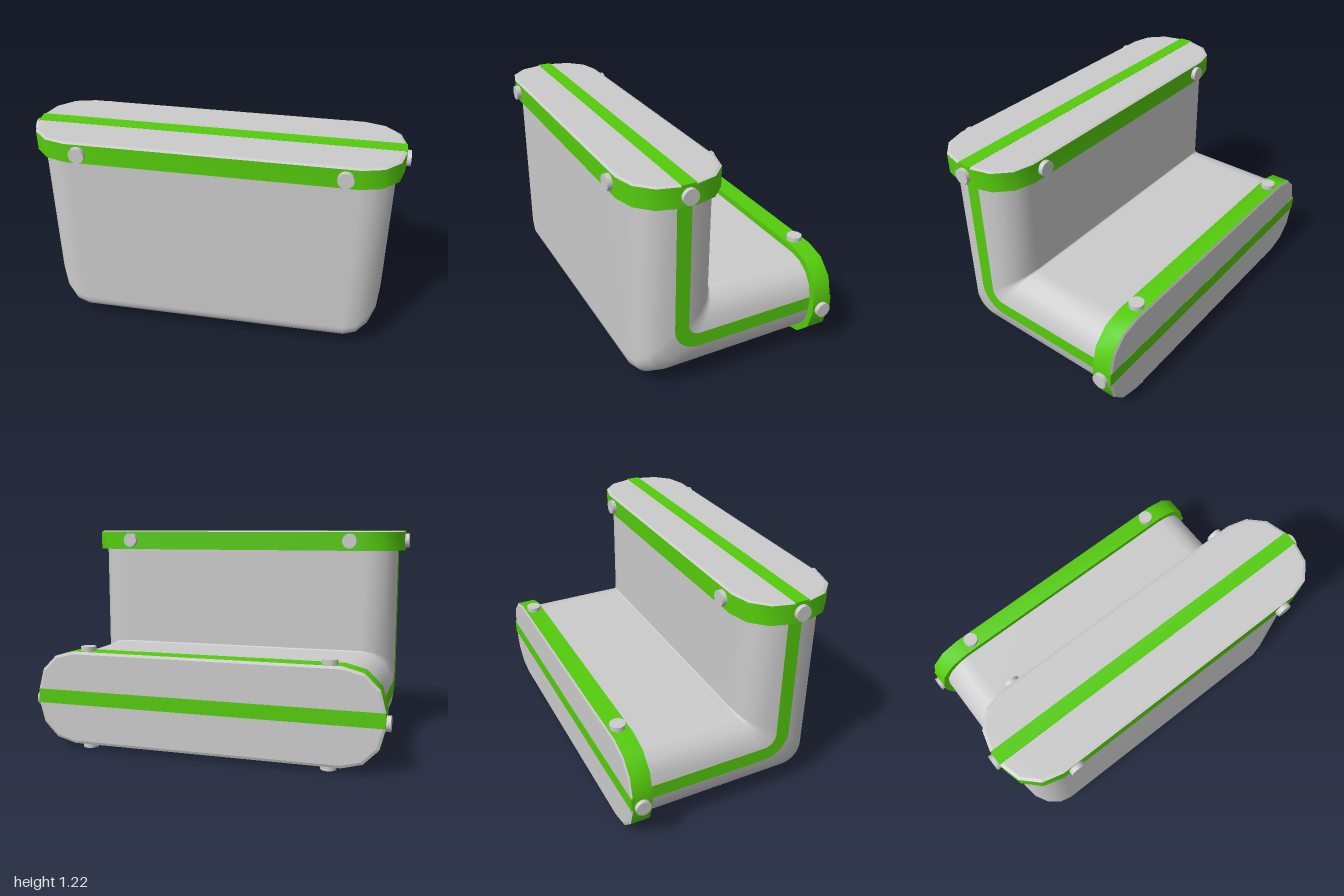
import * as THREE from 'three';
import { toCreasedNormals } from 'three/addons/utils/BufferGeometryUtils.js';

const grey = new THREE.MeshStandardMaterial({ color: 0xcccccc });
const green = new THREE.MeshStandardMaterial({ color: 0x55cc0c });

const ARM_Z = 0.31, ARM_Y = 0.294; // centre lines of the upright and the lying arm

// Rounded rectangle, counter-clockwise, as four corner runs
function roundedRect(hx, hy, r, seg = 3) {
  const pts = [];
  for (let c = 0; c < 4; c++) {
    const cx = (c === 0 || c === 3 ? 1 : -1) * (hx - r);
    const cy = (c < 2 ? 1 : -1) * (hy - r);
    for (let k = 0; k <= seg; k++) {
      const a = (c + k / seg) * Math.PI / 2;
      pts.push(new THREE.Vector2(cx + r * Math.cos(a), cy + r * Math.sin(a)));
    }
  }
  return pts;
}

// Bend radius for a line running at offset w outward from the centre line
function bendRadius(w) {
  const knots = [[-0.225, 0.008], [-0.04, 0.07], [0.04, 0.14], [0.225, 0.1]];
  for (let i = 0; i < 3; i++) {
    const [w0, r0] = knots[i], [w1, r1] = knots[i + 1];
    if (w <= w1 || i === 2) return r0 + (r1 - r0) * (w - w0) / (w1 - w0);
  }
}

// Sweeps an open run of section points (x, w) down the upright arm and out along the lying arm
function elbowSweep(section) {
  const arc = 8, rows = arc + 3, pos = [], index = [];
  section.forEach(({ x, y: w }, i) => {
    const r = bendRadius(w), cz = ARM_Z + w - r, cy = ARM_Y - w + r;
    pos.push(x, 1.12, ARM_Z + w);
    for (let k = 0; k <= arc; k++) {
      const a = k / arc * Math.PI / 2;
      pos.push(x, cy - r * Math.sin(a), cz + r * Math.cos(a));
    }
    pos.push(x, ARM_Y - w, -0.5);
    if (i === section.length - 1) return;
    for (let j = 0; j < rows - 1; j++) {
      const a = i * rows + j, b = a + rows;
      index.push(a, b, b + 1, a, b + 1, a + 1);
    }
  });
  const geo = new THREE.BufferGeometry();
  geo.setAttribute('position', new THREE.Float32BufferAttribute(pos, 3));
  geo.setIndex(index);
  geo.computeVertexNormals();
  return geo;
}

function add(parent, name, geo, mat, x = 0, y = 0, z = 0) {
  const mesh = new THREE.Mesh(geo, mat);
  mesh.name = name;
  mesh.position.set(x, y, z);
  parent.add(mesh);
  return mesh;
}

// Flange lying in its own xy plane, with its outer face towards +z
function makeFlange(name, endBoltY) {
  const flange = new THREE.Group();
  flange.name = name;
  const shape = new THREE.Shape(roundedRect(0.977, 0.264, 0.22));
  const band = new THREE.ExtrudeGeometry(shape, { depth: 0.108, bevelEnabled: false });
  add(flange, 'flangeBand', toCreasedNormals(band, 0.7), green);

  // End plate with a small bevelled rim
  const plate = new THREE.ExtrudeGeometry(shape, {
    depth: 0.001, bevelThickness: 0.006, bevelSize: 0.015, bevelOffset: -0.015, bevelSegments: 1,
  });
  add(flange, 'endPlate', plate, grey, 0, 0, 0.107);
  add(flange, 'endStripe', new THREE.BoxGeometry(1.954, 0.08, 0.02), green, 0, 0, 0.105);

  // Bolts: two on each long side, one on each rounded end
  const bolt = new THREE.CylinderGeometry(0.042, 0.042, 0.06, 20);
  for (const s of [-1, 1]) {
    for (const t of [-1, 1]) add(flange, 'sideBolt', bolt, grey, s * 0.685, t * 0.26, 0.056);
    add(flange, 'endBolt', bolt, grey, s * 0.97, endBoltY, 0.056).rotation.z = Math.PI / 2;
  }
  return flange;
}

export function createModel() {
  const model = new THREE.Group();
  model.name = 'elbowDuct';

  // Duct body: outer and inner shell, with a coloured stripe along each flat side
  const ring = roundedRect(0.938, 0.225, 0.185, 4);
  const n = ring.length, half = n / 2;
  add(model, 'outerShell', elbowSweep(ring.slice(0, half)), grey);
  add(model, 'innerShell', elbowSweep(ring.slice(half)), grey);
  add(model, 'leftStripe', elbowSweep([ring[n - 1], ring[0]]), green);
  add(model, 'rightStripe', elbowSweep([ring[half - 1], ring[half]]), green);

  // Flanges on both open ends
  const top = makeFlange('topFlange', 0);
  top.rotation.x = -Math.PI / 2;
  top.position.set(0, 1.111, ARM_Z);
  const back = makeFlange('backFlange', -0.025);
  back.rotation.y = Math.PI;
  back.position.set(0, 0.292, -0.485);
  model.add(top, back);
  return model;
}
